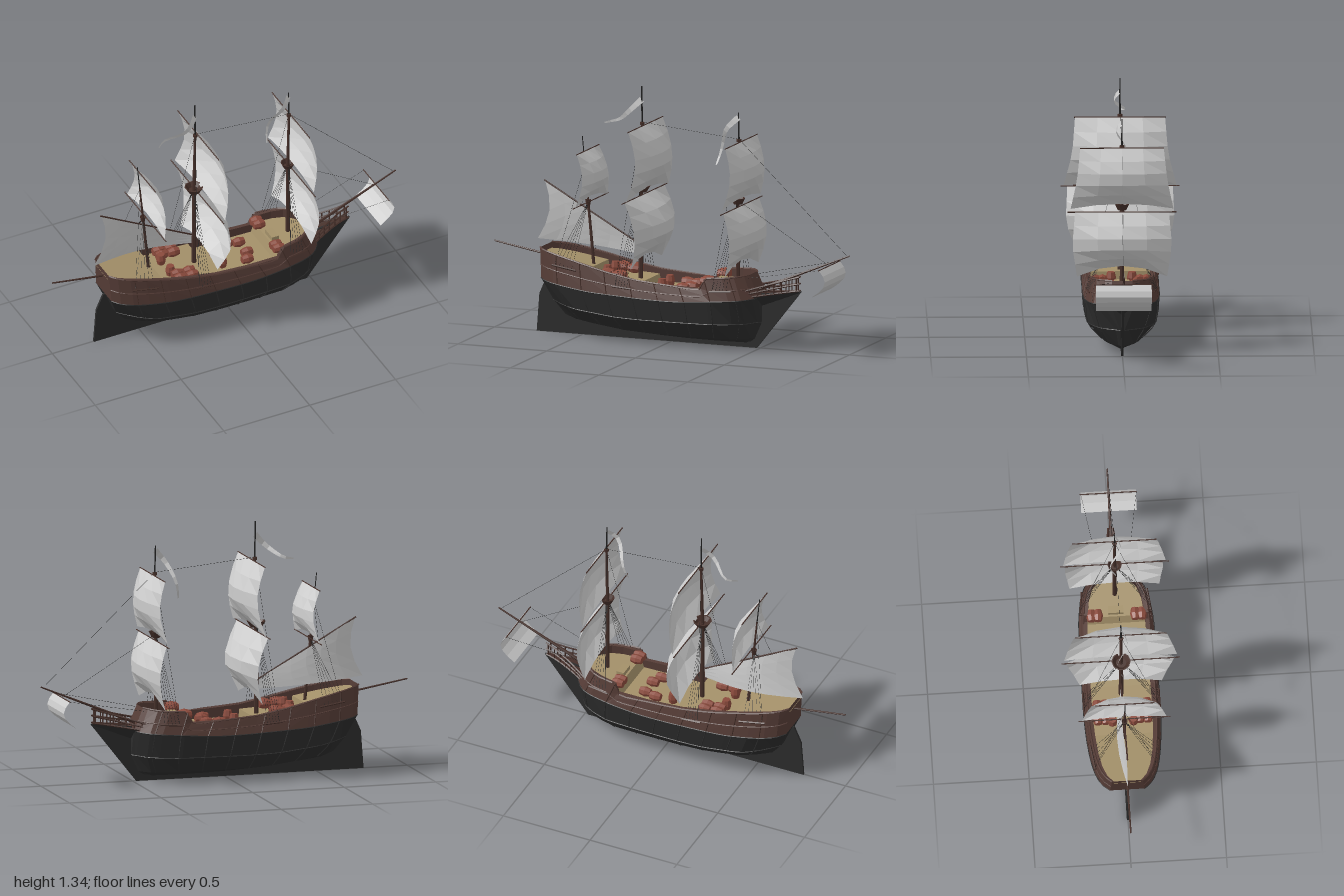
import * as THREE from 'three';

const V = (x, y, z) => new THREE.Vector3(x, y, z);
const mat = (color) => new THREE.MeshStandardMaterial({ color, flatShading: true, side: THREE.DoubleSide });
const black = mat(0x2c2c2c), brown = mat(0x553c36), wood = mat(0x46302a), planks = mat(0xa39069);
const cloth = mat(0xcccccc), cargo = mat(0x8a4a3c), rope = mat(0x222222);

// piecewise linear lookup in [[key, value], ...]
function at(table, x) {
  if (x <= table[0][0]) return table[0][1];
  for (let i = 1; i < table.length; i++) {
    const [a, p] = table[i - 1], [b, q] = table[i];
    if (x <= b) return p + (q - p) * (x - a) / (b - a);
  }
  return table[table.length - 1][1];
}

// sheet through fn(u, v) for the given lists of u and v
function sheet(us, vs, fn) {
  const pos = [], idx = [], n = vs.length;
  us.forEach((u) => vs.forEach((v) => pos.push(...fn(u, v).toArray())));
  for (let i = 0; i < us.length - 1; i++) for (let j = 0; j < n - 1; j++) {
    const a = i * n + j, b = a + n;
    idx.push(a, b, a + 1, b, b + 1, a + 1);
  }
  const g = new THREE.BufferGeometry();
  g.setAttribute('position', new THREE.Float32BufferAttribute(pos, 3));
  g.setIndex(idx);
  g.computeVertexNormals();
  return g;
}
const steps = (n, a = 0, b = 1) => Array.from({ length: n + 1 }, (_, i) => a + (b - a) * i / n);

// hull rules: t runs stern to bow, k runs from keel (0) to rail (4)
const stations = [0, 0.03, 0.08, 0.15, 0.248, 0.252, 0.35, 0.494, 0.498, 0.65, 0.805, 0.82, 0.9, 0.95, 0.985, 1];
const fullness = [[0, 0.45], [0.03, 0.65], [0.08, 0.8], [0.15, 0.9], [0.25, 0.97], [0.35, 1], [0.65, 1],
  [0.8, 0.97], [0.9, 0.87], [0.95, 0.74], [0.985, 0.5], [1, 0.3]];
const sternX = [[0, -0.52], [1, -0.59], [2, -0.65], [3, -0.7], [4, -0.71]];
const bowX = [[0, 0.44], [1, 0.47], [2, 0.51], [3, 0.51], [4, 0.46]];
const halfW = [[0, 0], [1, 0.11], [2, 0.185], [3, 0.2], [4, 0.178]];
const railY = [[0, 0.46], [0.1, 0.44], [0.22, 0.41], [0.35, 0.375], [0.48, 0.345], [0.65, 0.33], [0.805, 0.325], [0.82, 0.375], [1, 0.395]];
const levelY = [
  [[0, 0.07], [0.4, 0.03], [0.7, 0.02], [1, 0.022]], [[0, 0.105], [0.4, 0.055], [1, 0.05]],
  [[0, 0.18], [0.4, 0.135], [1, 0.14]], [[0, 0.3], [0.25, 0.265], [0.6, 0.245], [1, 0.275]], railY];
// the bottom draws in towards both ends
const pinch = [[0, 0.5], [0.12, 0], [0.85, 0], [0.95, 0.25], [1, 0.8]];
function hull(t, k, side = 1) {
  const x = at(sternX, k) + (at(bowX, k) - at(sternX, k)) * t;
  const i = Math.min(3, Math.floor(k));
  const y = at(levelY[i], t) + (at(levelY[i + 1], t) - at(levelY[i], t)) * (k - i);
  const narrow = 1 - at(pinch, t) * THREE.MathUtils.clamp(3 - k, 0, 1);
  return V(x, y, side * at(halfW, k) * at(fullness, t) * narrow);
}
const tOf = (x) => (x + 0.71) / 1.17;
// poop, quarterdeck, waist and forecastle levels
const deckLevels = [[0, 0.43], [0.248, 0.375], [0.252, 0.335], [0.494, 0.32], [0.498, 0.28], [0.805, 0.28], [0.82, 0.335], [1, 0.345]];
const deckY = (t) => at(deckLevels, t);

export function createModel() {
  const ship = new THREE.Group();
  ship.name = 'sailingShip';
  const add = (name, geo, m) => {
    const mesh = new THREE.Mesh(geo, m);
    mesh.name = name;
    ship.add(mesh);
    return mesh;
  };
  const beam = (name, a, b, r0, r1, m, sides = 6) => {
    const d = b.clone().sub(a);
    const mesh = add(name, new THREE.CylinderGeometry(r1, r0, d.length(), sides), m);
    mesh.position.copy(a).addScaledVector(d, 0.5);
    mesh.quaternion.setFromUnitVectors(V(0, 1, 0), d.normalize());
  };
  const line = (name, a, b) => beam(name, a, b, 0.0008, 0.0008, rope, 3);
  const bar = (name, pts, r, m) => add(name, new THREE.TubeGeometry(
    new THREE.CatmullRomCurve3(pts, false, 'centripetal'), pts.length * 2, r, 4), m);

  // hull: dark bottom, brown topsides, closed at both ends
  add('lowerHull', sheet(stations, [-3, -2, -1, 0, 1, 2, 3], (t, k) => hull(t, Math.abs(k), Math.sign(k))), black);
  for (const t of [0, 1]) {
    add('lowerEnd', sheet([-1, 1], [0, 1, 2, 3], (s, k) => hull(t, k, s)), black);
    add('upperEnd', sheet([-1, 1], [3, 4], (s, k) => hull(t, k, s)), brown);
  }
  for (const s of [-1, 1]) {
    add('topside', sheet(stations, [3, 3.5, 4], (t, k) => hull(t, k, s)), brown);
    // thick bulwark: rail cap and inner wall
    add('bulwark', sheet(stations, [0, 1, 2], (t, r) => {
      const p = hull(t, 4, s);
      if (r > 0) p.z *= 0.88;
      if (r > 1) p.y = deckY(t);
      return p;
    }), brown);
    // wales and upright ribs
    for (const k of [2, 3, 3.45, 4])
      bar('wale', stations.map((t) => hull(t, k, s)), k === 4 ? 0.005 : 0.003, k > 3 ? brown : black);
    for (const t of [0.1, 0.22, 0.34, 0.46, 0.58, 0.7, 0.82, 0.93]) {
      bar('lowerRib', [1, 2, 3].map((k) => hull(t, k, s)), 0.003, black);
      bar('upperRib', [3, 3.5, 4].map((k) => hull(t, k, s)), 0.003, wood);
    }
  }
  add('deck', sheet(stations, [-1, 1], (t, s) => {
    const p = hull(t, 4, s * 0.89);
    p.y = deckY(t);
    return p;
  }), planks);

  // keel, rudder and stem in one thin plate
  const plate = new THREE.Shape([[-0.76, 0], [0.48, 0], [0.73, 0.315], [0.45, 0.285], [0.4, 0.1], [-0.5, 0.1],
    [-0.66, 0.29], [-0.705, 0.29], [-0.745, 0.2]].map(([x, y]) => new THREE.Vector2(x, y)));
  add('keel', new THREE.ExtrudeGeometry(plate, { depth: 0.012, bevelEnabled: false }).translate(0, 0, -0.006), black);

  // beak ahead of the bow, with rails rising to its tip
  const beak = (s, side, y) => V(0.45 + 0.27 * s, y, side * (0.012 + 0.1 * Math.pow(1 - s, 1.5)));
  add('beakHead', sheet(steps(6), [-1, 0, 1], (s, c) => c ? beak(s, c, 0.275 + 0.04 * s) : V(0.45 + 0.27 * s, 0.2 + 0.1 * s, 0)), black);
  add('beakFloor', sheet(steps(6), [-1, 1], (s, c) => beak(s, c, 0.277 + 0.04 * s)), wood);
  for (const side of [-1, 1]) {
    for (const [y, rise] of [[0.28, 0.04], [0.297, 0.06], [0.315, 0.078]])
      bar('beakRail', steps(6).map((s) => beak(s, side, y + rise * s)), 0.005, wood);
    for (const s of steps(6, 0.1, 0.95))
      beam('beakPost', beak(s, side, 0.277 + 0.04 * s), beak(s, side, 0.315 + 0.078 * s), 0.004, 0.004, wood, 4);
  }
  beam('bowsprit', V(0.43, 0.287, 0), V(1, 0.525, 0), 0.01, 0.004, wood);
  beam('sternBoom', V(-0.6, 0.392, 0), V(-1, 0.46, 0), 0.006, 0.004, wood);

  // masts: foot, platform, topmast head and pole head
  const masts = [
    { pts: [[-0.175, 0.29], [-0.175, 0.8], [-0.168, 1.15], [-0.17, 1.34]], r: 0.013, nest: 0.05, x: -0.19, spread: -0.065, k: 3.45 },
    { pts: [[0.372, 0.31], [0.372, 0.775], [0.378, 1.1], [0.375, 1.24]], r: 0.012, nest: 0.038, x: 0.35, spread: -0.075, k: 3.45 },
    { pts: [[-0.44, 0.37], [-0.472, 0.705], [-0.49, 0.9], [-0.505, 1.05]], r: 0.009, nest: 0.016, x: -0.5, spread: -0.1, k: 3.65 }];
  for (const m of masts) {
    const p = m.pts.map(([x, y]) => V(x, y, 0));
    beam('lowerMast', p[0], p[1], m.r, m.r * 0.8, wood, 8);
    beam('topMast', p[1], p[2], m.r * 0.75, m.r * 0.5, wood, 8);
    beam('mastPole', p[2], p[3], m.r * 0.35, m.r * 0.25, rope);
    if (m.nest > 0.02) beam('mastCap', p[2].clone().add(V(0, -0.015, 0)), p[2], 0.012, 0.012, wood);
    const cup = new THREE.LatheGeometry([[0, -0.02], [m.nest * 0.6, -0.02], [m.nest, 0.012], [m.nest * 0.88, 0.012], [m.nest * 0.55, -0.01], [0, -0.01]]
      .map(([x, y]) => new THREE.Vector2(x, y)), 10);
    add('crowsNest', cup, wood).position.copy(p[1]);
    // shrouds down to a channel shelf on each side
    for (const s of [-1, 1]) {
      const feet = steps(4).map((f) => hull(tOf(m.x + m.spread * f), m.k, s).add(V(0, 0, s * 0.008)));
      beam('channel', feet[0].clone().add(V(0.025, 0, 0)), feet[4].clone().add(V(-0.015, 0, 0)), 0.005, 0.005, wood, 4);
      feet.forEach((f) => line('shroud', f, p[1]));
      line('backstay', feet[4], p[2]);
    }
  }

  // square sails, each hung from a yard: top x y, foot x y, half widths, belly, foot arch, yard
  const sails = [
    ['mainCourse', -0.155, 0.77, -0.145, 0.405, [0.275, 0.285, 0.215], 0.125, 0.05, 0.31],
    ['mainTopsail', -0.15, 1.138, -0.14, 0.775, [0.235, 0.25, 0.295], 0.1, 0.03, 0.24],
    ['foreCourse', 0.39, 0.747, 0.392, 0.405, [0.245, 0.26, 0.235], 0.09, 0.055, 0.285],
    ['foreTopsail', 0.39, 1.087, 0.39, 0.765, [0.218, 0.235, 0.268], 0.08, 0.025, 0.22],
    ['mizzenTopsail', -0.475, 0.98, -0.455, 0.71, [0.15, 0.175, 0.22], 0.078, 0.03, 0.155],
    ['spritsail', 0.887, 0.465, 0.84, 0.315, [0.145, 0.145, 0.145], 0.055, 0, 0.15]];
  for (const [name, x0, y0, x1, y1, w, bulge, lift, yard] of sails) {
    const flat = name === 'spritsail' ? 1 : 0.42;
    add(name, sheet(steps(4, -1, 1), steps(5), (u, v) => {
      const c = 1 - u * u, arc = Math.sin(Math.PI * v);
      const z = u * at([[0, w[0]], [0.5, w[1]], [1, w[2]]], v);
      return V(x0 + (x1 - x0) * v + bulge * arc * (flat + (1 - flat) * c), y0 + (y1 - y0) * v + lift * c * v * v, z);
    }), cloth);
    beam('yard', V(x0, y0, -yard), V(x0, y0, yard), 0.003, 0.003, wood);
  }
  beam('crossjackYard', V(-0.458, 0.71, -0.24), V(-0.458, 0.71, 0.24), 0.003, 0.003, wood);

  // fore-and-aft sail on its slanted spar
  add('lateenSail', sheet(steps(6), steps(4), (u, v) => {
    const top = V(-0.715 + 0.525 * u, 0.8 - 0.295 * u, 0), low = V(-0.755 + 0.565 * u, 0.49 - 0.04 * u, 0);
    const p = top.lerp(low, v), belly = Math.sin(Math.PI * v);
    return p.add(V(0.045 * belly * (1 - u), 0, -0.04 * Math.sin(Math.PI * u) * (0.3 + v * 0.7)));
  }), cloth);
  beam('lateenYard', V(-0.72, 0.803, 0), V(-0.185, 0.503, 0), 0.004, 0.004, wood);

  // streaming pennants, broad across their path
  const pennants = [
    [[-0.17, 1.27], [-0.24, 1.2], [-0.31, 1.15], [-0.38, 1.132]],
    [[0.375, 1.215], [0.315, 1.15], [0.275, 1.06], [0.25, 0.955]]];
  for (const pts of pennants) {
    const path = new THREE.CatmullRomCurve3(pts.map(([x, y]) => V(x, y, 0)));
    add('pennant', sheet(steps(8), [-1, 1], (s, c) => {
      const w = c * 0.016 * (1 - 0.75 * s), d = path.getTangent(s);
      return path.getPoint(s).add(V(-d.y * w, d.x * w, 0.03 * Math.sin(s * 6.3)));
    }), cloth);
  }

  // stays and braces
  line('foreStay', V(0.38, 0.77, 0), V(0.885, 0.465, 0));
  line('foreTopStay', V(0.378, 1.1, 0), V(0.99, 0.52, 0));
  line('mainTopStay', V(-0.168, 1.15, 0), V(0.375, 1.1, 0));
  for (const s of [-1, 1]) line('spritBrace', V(0.46, 0.38, s * 0.07), V(0.887, 0.465, s * 0.145));

  // deck cargo: barrels on their sides, upright kegs and hatches
  const keg = new THREE.LatheGeometry([[0, -0.03], [0.02, -0.03], [0.027, 0], [0.02, 0.03], [0, 0.03]]
    .map(([x, y]) => new THREE.Vector2(x, y)), 8);
  const lying = [[-0.32, -0.13], [-0.32, -0.09], [-0.25, -0.13], [-0.25, -0.09], [-0.32, 0.13], [-0.32, 0.09], [-0.25, 0.13], [-0.25, 0.09],
    [0.055, -0.085], [0.12, -0.07], [0.095, 0.08], [0.12, 0.025], [0.25, -0.13], [0.25, -0.095], [0.25, 0.1], [0.25, 0.135]];
  for (const [x, z] of lying) {
    const b = add('barrel', keg, cargo);
    b.position.set(x, deckY(tOf(x)) + 0.025, z);
    b.rotation.z = Math.PI / 2;
  }
  for (const [x, z] of [[-0.34, -0.055], [-0.34, 0.055], [-0.035, -0.06], [-0.035, 0.05]])
    add('keg', keg, cargo).position.set(x, deckY(tOf(x)) + 0.028, z);
  add('hatch', new THREE.BoxGeometry(0.04, 0.03, 0.08), planks).position.set(0.28, deckY(tOf(0.28)) + 0.008, 0);
  return ship;
}
